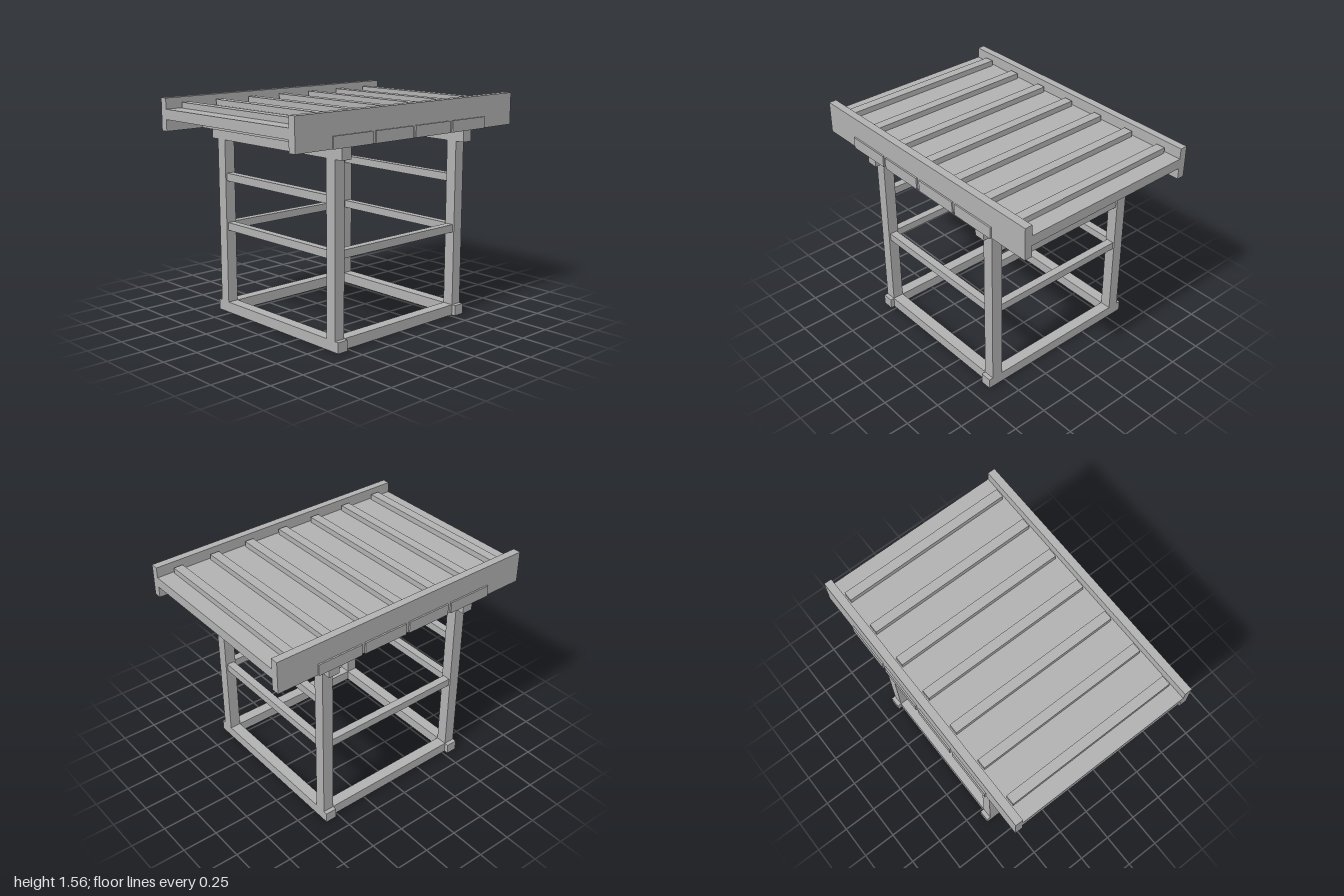
import * as THREE from 'three';

export function createModel() {
  const model = new THREE.Group();
  model.name = 'roofedFrame';
  const grey = new THREE.MeshStandardMaterial({ color: 0xb2b2b2 });
  grey.name = 'plain grey';

  // Box given by its size, centre x/z and bottom height
  function beam(name, w, h, d, x, bottom, z) {
    const mesh = new THREE.Mesh(new THREE.BoxGeometry(w, h, d), grey);
    mesh.name = name;
    mesh.position.set(x, bottom + h / 2, z);
    model.add(mesh);
  }

  const post = 0.08;        // post thickness
  const at = 0.565;         // post distance from the centre
  const span = 2 * at - post;
  const rail = 0.055;

  for (const s of [-1, 1]) {
    // Posts
    for (const t of [-1, 1]) beam('post', post, 1.175, post, s * at, 0.075, t * at);

    // Ground sills: long ones front and back, short ones between them
    beam('crossSill', 1.27, 0.075, post, 0, 0, s * at);
    beam('sideSill', post, 0.075, span, s * at, 0, 0);

    // Rails between the posts
    for (const y of [0.605, 0.96]) beam('crossRail', span, rail, rail, 0, y, s * at);
    beam('sideRail', rail, rail, span, s * at, 0.605, 0);

    // Head beams carrying the roof
    beam('headBeam', 1.34, 0.085, post, 0, 1.25, s * at);

    // Tall boards along the roof edges
    beam('edgeBoard', 0.055, 0.225, 2, s * 0.6675, 1.335, 0);
  }

  // Planks under the roof deck, with narrow gaps
  for (let i = 0; i < 4; i++) beam('plank', 1.412, 0.08, 0.333, 0, 1.335, (i - 1.5) * 0.36);

  // Roof deck and the battens across it
  beam('roofDeck', 1.28, 0.07, 2, 0, 1.415, 0);
  for (let i = 0; i < 7; i++) beam('batten', 1.244, 0.04, 0.067, 0, 1.485, (i - 3) * 0.283);

  return model;
}
